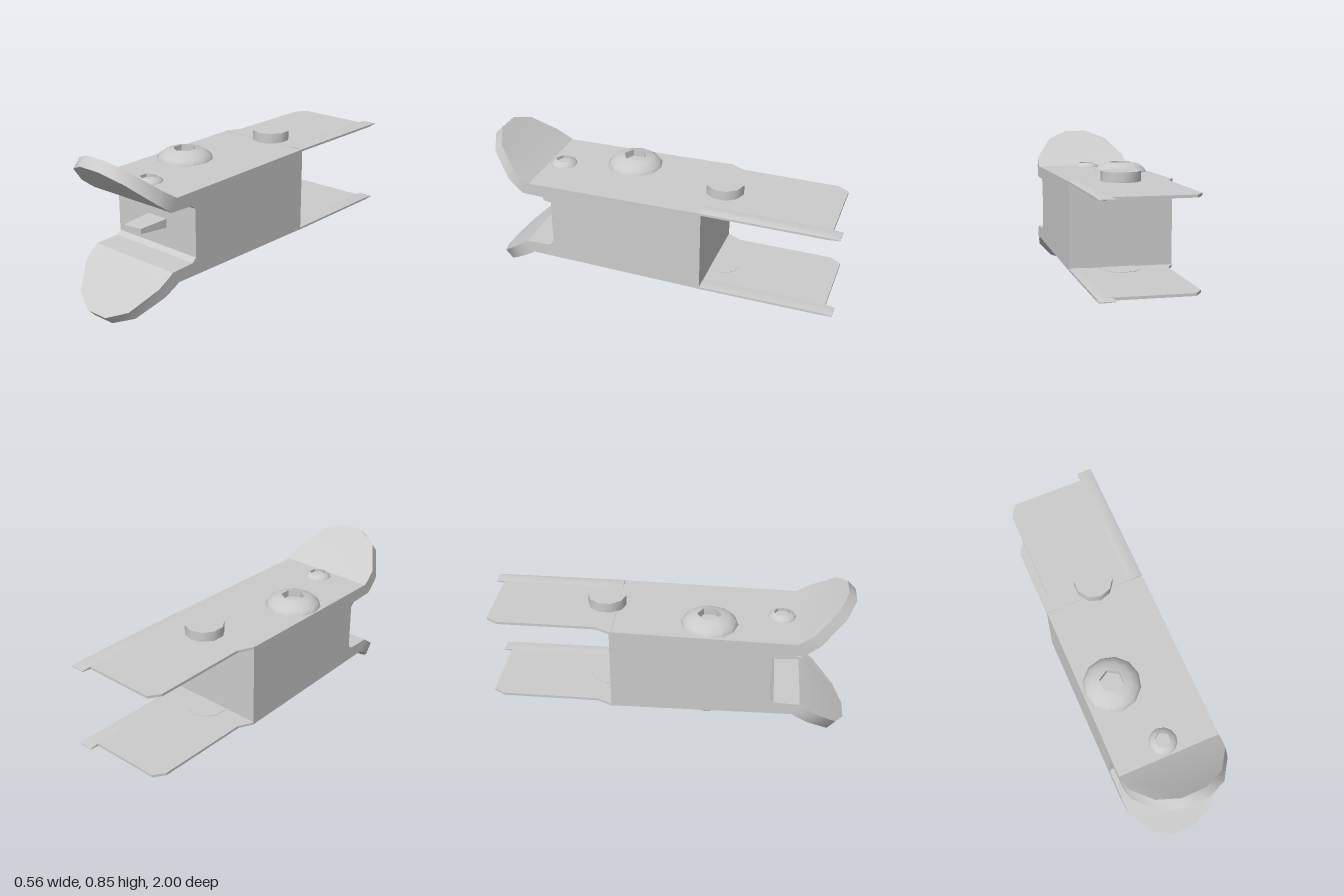
import * as THREE from 'three';
import { toCreasedNormals } from 'three/addons/utils/BufferGeometryUtils.js';

const MID = 0.4225; // height of the plane between upper and lower halves
const W = 0.28;     // half width

const material = new THREE.MeshStandardMaterial({ color: 0xcccccc });

// Mirror a geometry top to bottom, keeping faces outward
function flipY(geometry) {
  const g = geometry.index ? geometry.toNonIndexed() : geometry.clone();
  g.scale(1, -1, 1);
  for (const attribute of Object.values(g.attributes)) {
    const n = attribute.itemSize, a = attribute.array;
    for (let i = 0; i < a.length; i += 3 * n) {
      for (let k = 0; k < n; k++) {
        [a[i + n + k], a[i + 2 * n + k]] = [a[i + 2 * n + k], a[i + n + k]];
      }
    }
  }
  return g;
}

function shapeOf(points) {
  return new THREE.Shape(points.map(([x, y]) => new THREE.Vector2(x, y)));
}

// Join rings of points (each listed the same way round) into a closed solid
function loft(rings) {
  const n = rings[0].length, last = rings.length - 1, index = [];
  for (let i = 0; i < last; i++) {
    for (let j = 0; j < n; j++) {
      const k = (j + 1) % n;
      const a = i * n + j, b = i * n + k, c = (i + 1) * n + k, d = (i + 1) * n + j;
      index.push(a, b, c, a, c, d);
    }
  }
  for (let j = 1; j < n - 1; j++) {
    index.push(0, j + 1, j, last * n, last * n + j, last * n + j + 1);
  }
  const g = new THREE.BufferGeometry();
  g.setAttribute('position', new THREE.Float32BufferAttribute(rings.flat(2), 3));
  g.setIndex(index);
  return g;
}

const creased = (g, angle = 0.6) => toCreasedNormals(g, angle);

// Body block, side profile (z, y) pushed across the width
function bodyGeometry() {
  const half = [[-0.28, 0.237], [0.7, 0.222], [0.74, 0.157], [0.6, 0.152], [0.575, 0.13]];
  const mirrored = half.map(([z, y]) => [z, -y]).reverse();
  const g = new THREE.ExtrudeGeometry(shapeOf([...half, ...mirrored]), { depth: 2 * W, bevelEnabled: false });
  return g.rotateY(-Math.PI / 2).translate(W, 0, 0);
}

// Flared front lip with a rounded outline
function lipGeometry() {
  const outer = [[0.7, 0.222], [0.81, 0.2925], [0.955, 0.4225]];
  const inner = [[0.74, 0.157], [0.85, 0.2375], [1.0, 0.3775]];
  const at = (path, u) => {
    const i = u < 0.42 ? 0 : 1;
    const f = i ? (u - 0.42) / 0.58 : u / 0.42;
    return path[i].map((v, k) => v + (path[i + 1][k] - v) * f);
  };
  const right = [[0.065, 1], [0.18, 0.8], [0.27, 0.33], [W, 0.08]]; // x, reach
  const columns = [...right.map(([x, t]) => [-x, t]).reverse(), ...right];
  const rings = columns.map(([x, t]) => {
    const steps = [0, t * 0.42, t];
    const ring = [...steps.map(u => at(outer, u)), ...steps.reverse().map(u => at(inner, u))];
    return ring.map(([z, y]) => [x, y, z]);
  });
  return creased(loft(rings));
}

// Thin rear plate with clipped corners
function plateGeometry() {
  const outline = [[-W, -0.27], [-W, -0.28], [-0.24, -0.36], [-0.24, -0.89], [-0.2, -0.95], [0.22, -0.95], [0.22, -0.27]];
  const g = new THREE.ExtrudeGeometry(shapeOf(outline), { depth: 0.014, bevelEnabled: false });
  return g.rotateX(Math.PI / 2).translate(0, 0.239, 0);
}

// Rounded rib along one edge of the plate, thinning at its tip
function ribGeometry() {
  const section = [[0.2, 0.225], [0.24, 0.222], [W, 0.226], [W, 0.238], [0.25, 0.245], [0.2, 0.239]];
  const stations = [[-1, 0.25], [-0.94, 1], [-0.27, 1]]; // z, thickness factor
  return creased(loft(stations.map(([z, f]) =>
    section.map(([x, y]) => [x, 0.234 + (y - 0.234) * f, z]))), 0.9);
}

// Domed screw head with a six-sided socket
function screwGeometry(radius, height, socket) {
  const profile = [[radius, -0.01], [radius, 0], [radius * 0.9, height * 0.4], [radius * 0.68, height * 0.82],
    [socket, height], [socket, height * 0.3], [0, height * 0.3]];
  const g = new THREE.LatheGeometry(profile.map(([r, y]) => new THREE.Vector2(r, y)), 12);
  const p = g.attributes.position, n = profile.length;
  for (let i = 0; i < p.count; i++) {
    const odd = Math.floor(i / n) % 2;
    if (odd && i % n >= 4) {
      const c = Math.cos(Math.PI / 6);
      p.setXYZ(i, p.getX(i) * c, p.getY(i), p.getZ(i) * c);
    }
  }
  return creased(g, 0.7);
}

export function createModel() {
  const model = new THREE.Group();
  model.name = 'clampBlock';

  function add(name, geometry) {
    const mesh = new THREE.Mesh(geometry, material);
    mesh.name = name;
    mesh.position.y = MID;
    model.add(mesh);
  }
  function addPair(name, geometry) {
    add(name + 'Upper', geometry);
    add(name + 'Lower', flipY(geometry));
  }

  add('body', bodyGeometry());
  addPair('lip', lipGeometry());
  addPair('rearPlate', plateGeometry());
  addPair('edgeRib', ribGeometry());

  // Screws on the top and underside
  addPair('largeScrew', screwGeometry(0.155, 0.055, 0.065).translate(-0.12, 0.2285, 0.235));
  add('smallScrewUpper', screwGeometry(0.075, 0.024, 0.045).translate(0, 0.223, 0.62));
  add('smallScrewLower', flipY(screwGeometry(0.07, 0.012, 0.045).translate(0.01, 0.234, -0.07)));

  // Round studs where the plates meet the body
  addPair('stud', creased(new THREE.CylinderGeometry(0.105, 0.105, 0.07, 10).translate(0.015, 0.258, -0.33), 0.8));

  // Tapered tongue in the front recess
  add('tongue', creased(loft([
    [[-0.055, 0.025, 0.56], [-0.065, 0.005, 0.74], [-0.065, -0.005, 0.74], [-0.055, -0.025, 0.56]],
    [[0.075, 0.025, 0.56], [0.06, 0.014, 0.74], [0.06, -0.014, 0.74], [0.075, -0.025, 0.56]],
  ]), 0.2));

  return model;
}
